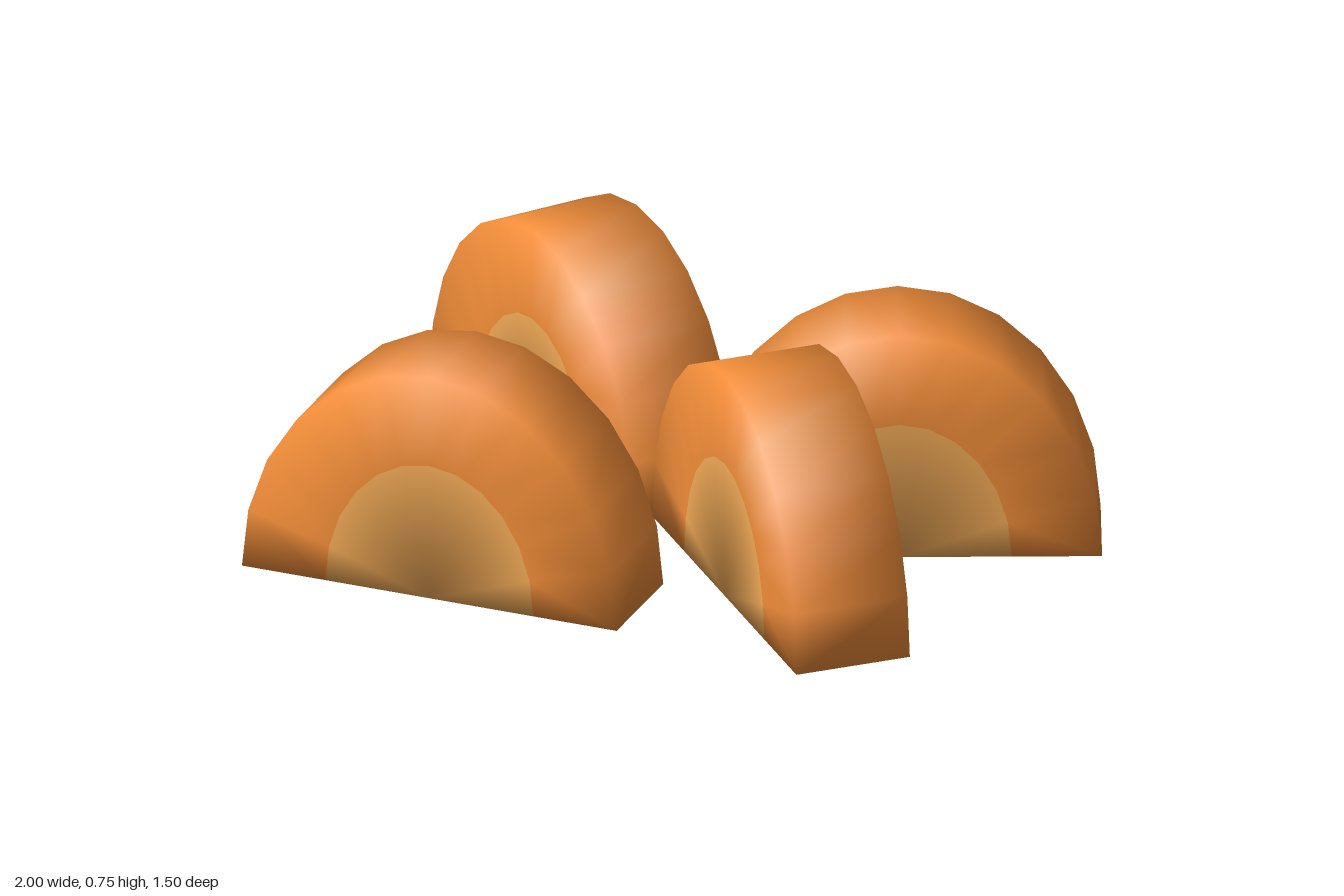
import * as THREE from 'three';
import { mergeVertices } from 'three/addons/utils/BufferGeometryUtils.js';

const SEGMENTS = 12;
const HALF_DEPTH = 0.1375;

// Half-elliptical arch between an outer and an inner arc; normals are shared across its edges.
function archGeometry([outerX, outerY], [innerX, innerY], withRim) {
  const positions = [];
  const index = [];
  for (let i = 0; i <= SEGMENTS; i++) {
    const a = (i / SEGMENTS) * Math.PI;
    const c = Math.cos(a);
    const s = Math.sin(a);
    for (const z of [HALF_DEPTH, -HALF_DEPTH]) {
      positions.push(c * outerX, s * outerY, z, c * innerX, s * innerY, z);
    }
  }
  const quad = (a, b, c, d) => index.push(a, b, c, a, c, d);

  // Section corners: 0 outer front, 1 inner front, 2 outer back, 3 inner back
  for (let i = 0; i < SEGMENTS; i++) {
    const p = i * 4;
    const q = p + 4;
    quad(p, q, q + 1, p + 1);
    quad(p + 2, p + 3, q + 3, q + 2);
    if (withRim) quad(p, p + 2, q + 2, q);
  }
  // Flat underside at both ends of the arch
  const e = SEGMENTS * 4;
  quad(0, 1, 3, 2);
  quad(e + 1, e, e + 2, e + 3);

  const geometry = new THREE.BufferGeometry();
  geometry.setAttribute('position', new THREE.Float32BufferAttribute(positions, 3));
  geometry.setIndex(index);
  const merged = mergeVertices(geometry);
  merged.computeVertexNormals();
  return merged;
}

export function createModel() {
  const model = new THREE.Group();
  model.name = 'halfSlices';

  const outer = [0.46, 0.55];
  const inner = [0.255, 0.33];
  const fleshGeometry = archGeometry(outer, inner, true);
  const coreGeometry = archGeometry(inner, [0, 0], false);
  const fleshMaterial = new THREE.MeshStandardMaterial({ color: 0xf08c38 });
  const coreMaterial = new THREE.MeshStandardMaterial({ color: 0xf2aa56 });

  // Four slices: x, y, z and turn about the vertical
  const slices = [
    ['backRightSlice', -0.525, 0, -0.39, -0.44],
    ['backLeftSlice', 0.35, 0, -0.375, 0.615],
    ['frontRightSlice', -0.35, 0, 0.39, 0.208],
    ['raisedFrontLeftSlice', 0.54, 0.196, 0.37, -0.605],
  ];
  for (const [name, x, y, z, turn] of slices) {
    const slice = new THREE.Group();
    slice.name = name;
    const flesh = new THREE.Mesh(fleshGeometry, fleshMaterial);
    flesh.name = 'outerFlesh';
    const core = new THREE.Mesh(coreGeometry, coreMaterial);
    core.name = 'paleCore';
    slice.add(flesh, core);
    slice.position.set(x, y, z);
    slice.rotation.y = turn;
    model.add(slice);
  }
  return model;
}
